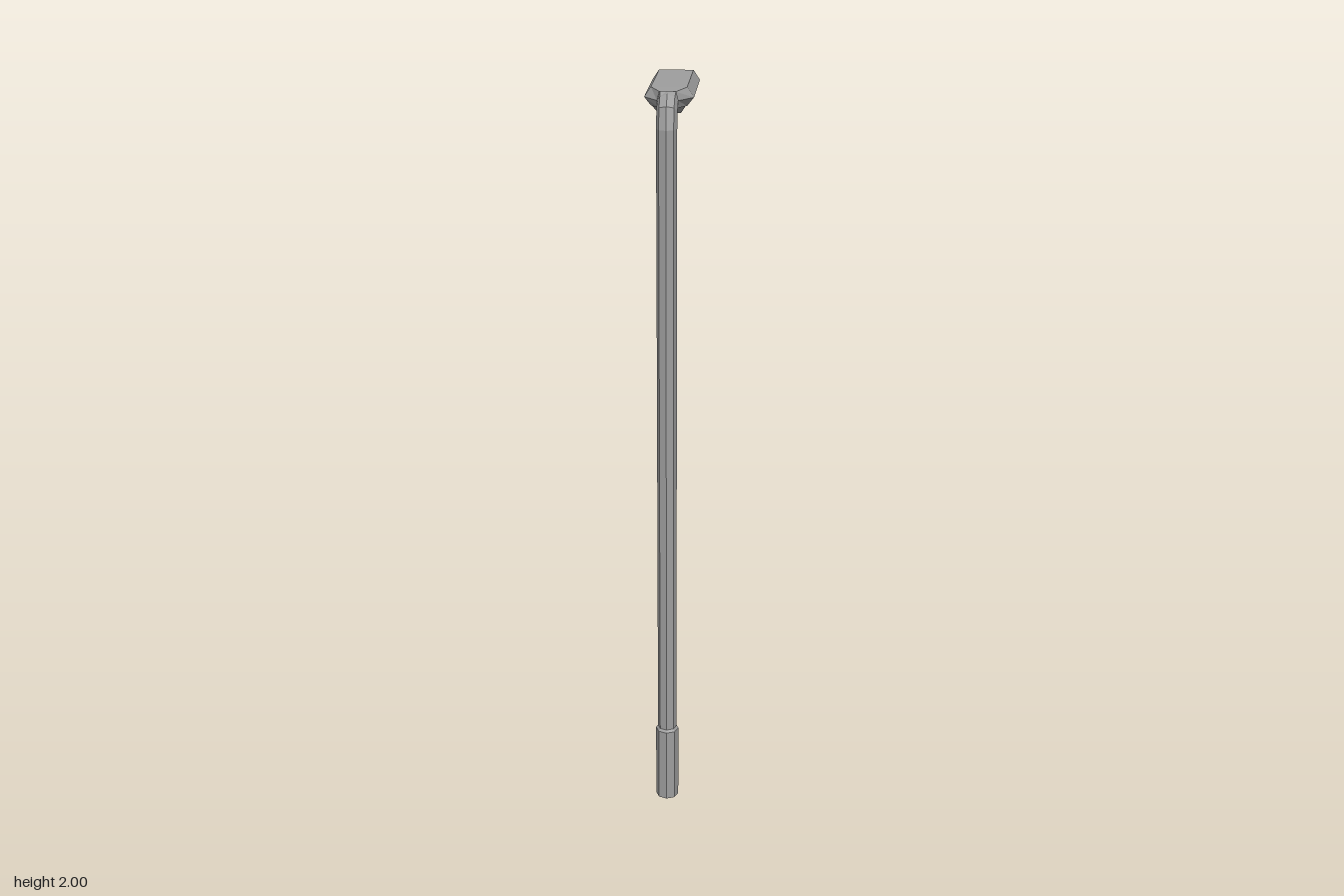
import * as THREE from 'three';

// Skin a list of equal-sized rings of points with flat faces, optionally capping the last one.
function loft(rings, cap) {
  const pos = [];
  const tri = (...pts) => pts.forEach((p) => pos.push(p.x, p.y, p.z));
  const n = rings[0].length;
  for (let r = 0; r + 1 < rings.length; r++) {
    for (let i = 0; i < n; i++) {
      const j = (i + 1) % n, a = rings[r], b = rings[r + 1];
      tri(a[i], a[j], b[j]);
      tri(a[i], b[j], b[i]);
    }
  }
  if (cap) {
    const e = rings[rings.length - 1];
    for (let i = 1; i + 1 < n; i++) tri(e[0], e[i], e[i + 1]);
  }
  const g = new THREE.BufferGeometry();
  g.setAttribute('position', new THREE.Float32BufferAttribute(pos, 3));
  g.computeVertexNormals();
  return g;
}

// Place a cross-section at (y, z), tilted back by an angle in degrees.
function ring(profile, y, z, degrees) {
  const a = THREE.MathUtils.degToRad(degrees);
  return profile.map(([x, v]) => new THREE.Vector3(x, y + v * Math.sin(a), z + v * Math.cos(a)));
}

const octagon = (r) => Array.from({ length: 8 }, (_, i) => {
  const a = (i * Math.PI) / 4;
  return [r * Math.sin(a), r * Math.cos(a)];
});

// Hexagonal lamp section: flat top, widest in the middle, narrower underside.
const lampSection = (top, mid, low, h) => [
  [0, h], [top, h], [mid, 0], [low, -h * 0.85],
  [0, -h * 0.85], [-low, -h * 0.85], [-mid, 0], [-top, h],
];

function makeMaterial(name, color) {
  const material = new THREE.MeshStandardMaterial({ color, flatShading: true, side: THREE.DoubleSide });
  material.name = name;
  return material;
}

export function createModel() {
  const model = new THREE.Group();
  const metal = makeMaterial('grey metal', 0x9e9e9e);
  const light = makeMaterial('pale light', 0xe4e4e4);
  const add = (name, geometry, material) => {
    const mesh = new THREE.Mesh(geometry, material);
    mesh.name = name;
    model.add(mesh);
  };

  const poleZ = 0.152, armY = 1.975;

  // Thicker sleeve at the foot, open underneath, with a small chamfer
  add('baseSleeve', loft([
    ring(octagon(0.0315), 0, poleZ, 0),
    ring(octagon(0.0315), 0.217, poleZ, 0),
    ring(octagon(0.026), 0.224, poleZ, 0),
  ]), metal);

  // Pole with its bend towards the back
  const tube = octagon(0.026);
  const neck = lampSection(0.02, 0.026, 0.02, 0.022);
  add('pole', loft([
    ring(tube, 0.22, poleZ, 0),
    ring(tube, 1.912, poleZ, 0),
    ring(tube, 1.954, 0.141, 32),
    ring(tube, 1.969, 0.122, 65),
    ring(neck, armY, 0.105, 90),
  ]), metal);

  // Lamp housing flaring out from the neck
  const housing = lampSection(0.045, 0.062, 0.045, 0.025);
  add('lampHousing', loft([
    ring(neck, armY, 0.122, 90),
    ring(housing, armY, 0.073, 90),
    ring(housing, armY, -0.184, 90),
  ], true), metal);

  // Shallow tapered frame below the housing, closed by the pale light panel
  const plate = (w, front, back, yFront, yBack) => [
    [w, yFront, front], [-w, yFront, front], [-w, yBack, back], [w, yBack, back],
  ].map((p) => new THREE.Vector3(...p));
  const panel = plate(0.029, 0.06, -0.165, 1.934, 1.93);
  add('lensFrame', loft([plate(0.042, 0.08, -0.183, 1.955, 1.955), panel]), metal);
  add('lightPanel', loft([panel], true), light);

  return model;
}
